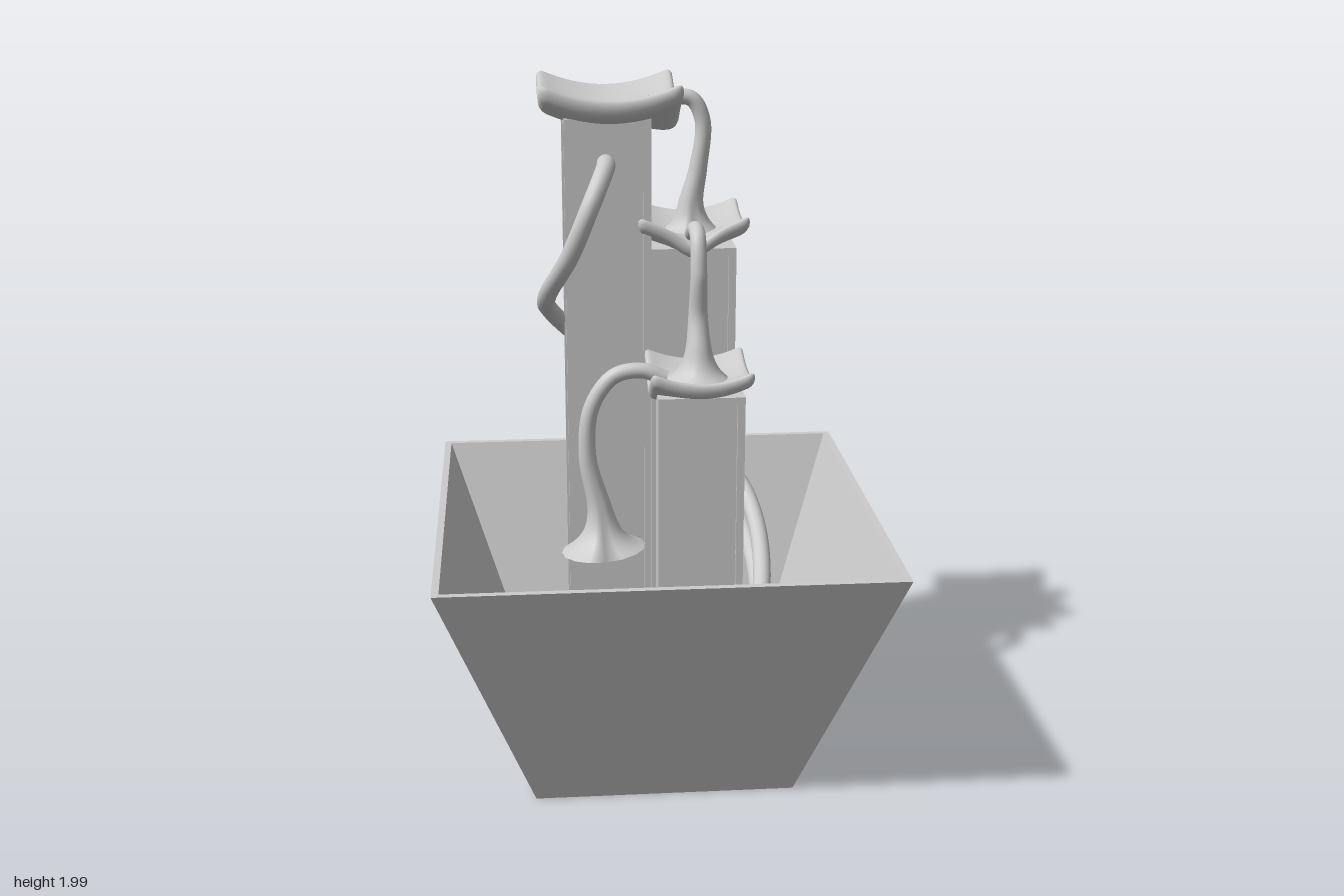
import * as THREE from 'three';
import { mergeVertices } from 'three/addons/utils/BufferGeometryUtils.js';

const mat = new THREE.MeshStandardMaterial({ color: 0xcccccc });
const flat = new THREE.MeshStandardMaterial({ color: 0xcccccc, flatShading: true, side: THREE.DoubleSide });

function add(parent, name, geometry, material, x = 0, y = 0, z = 0) {
  const mesh = new THREE.Mesh(geometry, material);
  mesh.name = name;
  mesh.position.set(x, y, z);
  parent.add(mesh);
  return mesh;
}

// Square tower: core, corner posts and rails that frame recessed panels
function tower(x, z, top) {
  const g = new THREE.Group();
  g.name = 'tower';
  g.position.set(x, 0, z);
  const base = 0.015, h = top - base, w = 0.25, p = 0.022, d = 0.012;
  add(g, 'towerPanels', new THREE.BoxGeometry(w - 2 * d, h - 0.01, w - 2 * d), mat, 0, base + h / 2, 0);
  for (const sx of [-1, 1]) for (const sz of [-1, 1]) {
    add(g, 'towerPost', new THREE.BoxGeometry(p, h, p), mat,
      sx * (w - p) / 2, base + h / 2, sz * (w - p) / 2);
  }
  for (const y of [base + p / 2, top - p / 2]) {
    add(g, 'towerRail', new THREE.BoxGeometry(w, p, w), mat, 0, y, 0);
  }
  return g;
}

// Dished square tray with upturned corners and a pouring lip towards +x
function tray(x, z, half, centerY, rise, thick, turn) {
  const n = 32, hy = thick / 2, r = hy * 0.85;
  const geo = new THREE.BoxGeometry(2 * half, thick, 2 * half, n, 4, n);
  const pos = geo.attributes.position;
  const v = new THREE.Vector3(), core = new THREE.Vector3();
  const lim = new THREE.Vector3(half - r, hy - r, half - r);
  const neg = lim.clone().negate();
  for (let i = 0; i < pos.count; i++) {
    v.fromBufferAttribute(pos, i);
    core.copy(v).clamp(neg, lim);
    v.sub(core).setLength(r).add(core);
    const a = v.x / half, b = v.z / half;
    const lip = THREE.MathUtils.smoothstep(a, 0.2, 1) * Math.exp(-Math.pow(b / 0.38, 2));
    v.y += rise * (a * a + b * b) / 2 - rise * 0.55 * lip;
    pos.setXYZ(i, v.x, v.y, v.z);
  }
  geo.deleteAttribute('uv');
  geo.deleteAttribute('normal');
  const smooth = mergeVertices(geo, 1e-5);
  smooth.computeVertexNormals();
  const mesh = new THREE.Mesh(smooth, mat);
  mesh.name = 'tray';
  mesh.position.set(x, centerY - hy, z);
  mesh.rotation.y = turn;
  return mesh;
}

// Tube along a smooth path, its radius given by a rule of t = 0..1
function pipe(name, points, radius) {
  const n = 80, m = 16;
  const curve = new THREE.CatmullRomCurve3(points.map(p => new THREE.Vector3(...p)));
  const geo = new THREE.TubeGeometry(curve, n, 1, m, false);
  const pos = geo.attributes.position;
  const v = new THREE.Vector3();
  for (let i = 0; i <= n; i++) {
    const c = curve.getPointAt(i / n);
    for (let j = 0; j <= m; j++) {
      const k = i * (m + 1) + j;
      v.fromBufferAttribute(pos, k).sub(c).multiplyScalar(radius(i / n)).add(c);
      pos.setXYZ(k, v.x, v.y, v.z);
    }
  }
  const normals = geo.attributes.normal.clone();
  geo.computeVertexNormals();
  // Keep the seam smooth
  for (let i = 0; i <= n; i++) for (const j of [0, m]) {
    const k = i * (m + 1) + j;
    geo.attributes.normal.setXYZ(k, normals.getX(k), normals.getY(k), normals.getZ(k));
  }
  const mesh = new THREE.Mesh(geo, new THREE.MeshStandardMaterial({ color: 0xcccccc, side: THREE.DoubleSide }));
  mesh.name = name;
  return mesh;
}

// Falling water: slim at the lip, spreading where it lands
const stream = (points, splash) =>
  pipe('waterStream', points, t => 0.023 + 0.025 * t ** 4 + (splash - 0.048) * t ** 18);

export function createModel() {
  const root = new THREE.Group();
  root.name = 'fountain';

  // Tapered open basin
  const s = Math.SQRT2;
  const profile = [[0, 0], [0.375, 0], [0.64, 0.76], [0.62, 0.76], [0.36, 0.015], [0, 0.015]]
    .map(([r, y]) => new THREE.Vector2(r * s, y));
  add(root, 'basin', new THREE.LatheGeometry(profile, 4), flat).rotation.y = Math.PI / 4;

  // Three stepped towers with trays
  root.add(tower(-0.125, -0.235, 1.89), tower(0.125, -0.235, 1.51), tower(0.125, 0.015, 1.13));
  root.add(
    tray(-0.115, -0.255, 0.205, 1.905, 0.1, 0.055, 0),
    tray(0.125, -0.255, 0.163, 1.535, 0.08, 0.042, -Math.PI / 2),
    tray(0.125, 0.035, 0.147, 1.152, 0.072, 0.042, Math.PI),
  );

  // Water falling from tray to tray and into the basin
  root.add(
    stream([[0.01, 1.915, -0.255], [0.07, 1.93, -0.255], [0.13, 1.925, -0.255], [0.163, 1.86, -0.255],
      [0.15, 1.72, -0.255], [0.13, 1.62, -0.255], [0.13, 1.54, -0.255]], 0.08),
    stream([[0.125, 1.545, -0.16], [0.125, 1.575, -0.08], [0.125, 1.565, -0.01], [0.125, 1.47, 0.022],
      [0.125, 1.34, 0.01], [0.125, 1.24, 0.03], [0.125, 1.16, 0.035]], 0.09),
    stream([[0.03, 1.16, 0.03], [-0.04, 1.185, 0.03], [-0.12, 1.17, 0.03], [-0.185, 1.08, 0.03],
      [-0.2, 0.93, 0.03], [-0.165, 0.76, 0.035], [-0.155, 0.64, 0.04]], 0.125),
  );

  // Feed hoses winding round the towers
  const hose = points => pipe('hose', points, () => 0.027);
  root.add(
    hose([[-0.13, 1.76, -0.13], [-0.135, 1.76, -0.05], [-0.18, 1.67, 0.025], [-0.24, 1.52, 0],
      [-0.305, 1.37, -0.14], [-0.29, 1.28, -0.31], [-0.2, 1.16, -0.43], [-0.07, 1.01, -0.455],
      [0.14, 0.83, -0.44], [0.29, 0.71, -0.37], [0.335, 0.62, -0.2], [0.32, 0.5, 0.05],
      [0.265, 0.42, 0.22], [0.19, 0.38, 0.275], [0.14, 0.36, 0.21], [0.13, 0.35, 0.12]]),
    hose([[-0.05, 1.06, -0.34], [-0.03, 1.03, -0.39], [0.06, 0.89, -0.43], [0.18, 0.74, -0.44],
      [0.285, 0.61, -0.36], [0.325, 0.5, -0.15], [0.305, 0.4, 0.08], [0.25, 0.31, 0.22],
      [0.19, 0.28, 0.27], [0.14, 0.26, 0.21], [0.13, 0.25, 0.12]]),
  );
  return root;
}
